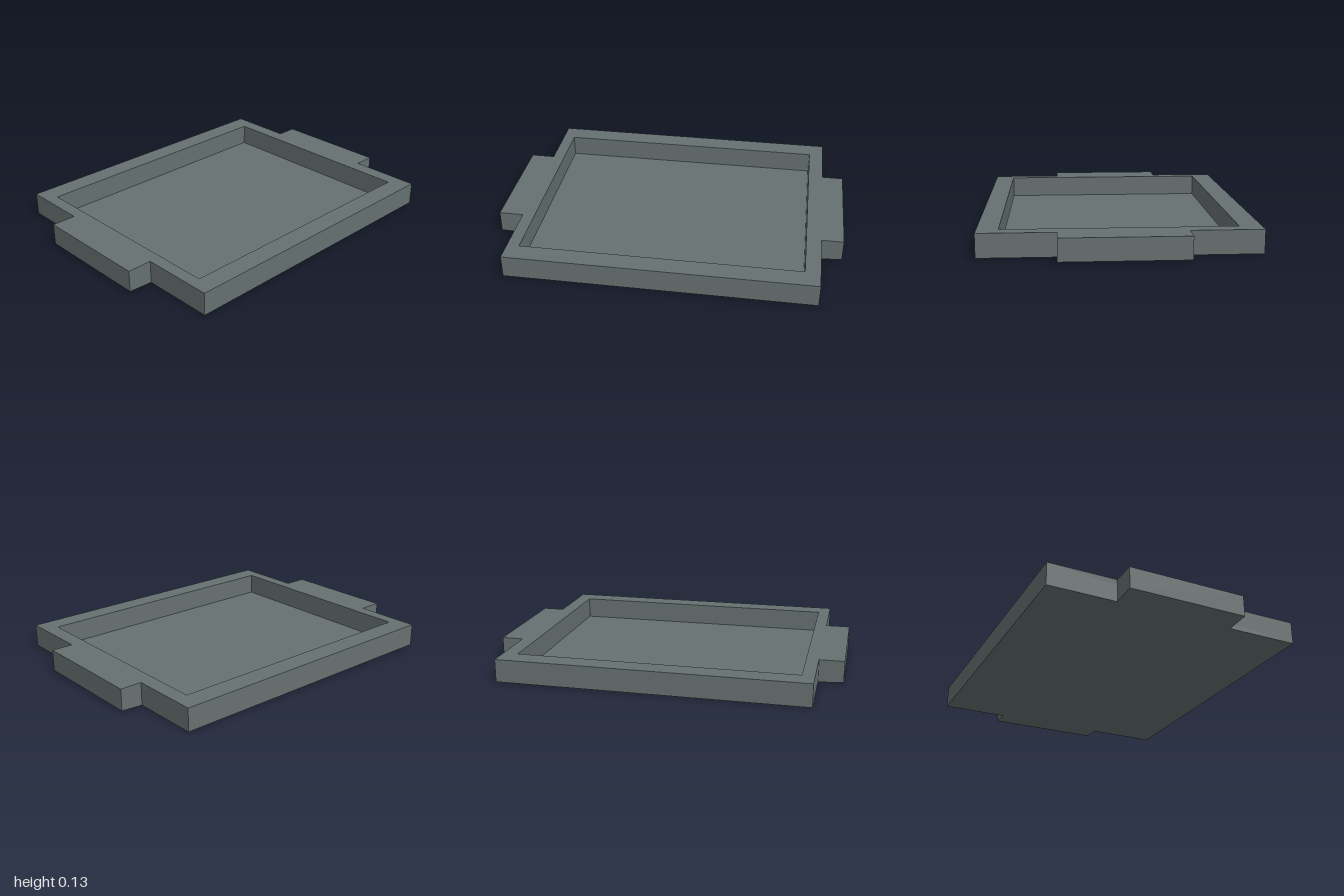
import * as THREE from 'three';

const HEIGHT = 0.13, FLOOR = 0.005;
const LEFT = 0.74, RIGHT = -0.745, FRONT = 0.86, BACK = -0.875;
const HOLE_X = 0.625, HOLE_Z = 0.79;
const TAB_LEFT = 0.325, TAB_RIGHT = -0.355, TAB_RISE = 0.007;

function rectangle(Type, x0, x1, y0, y1) {
  const path = new Type();
  path.moveTo(x0, y0);
  path.lineTo(x1, y0);
  path.lineTo(x1, y1);
  path.lineTo(x0, y1);
  path.closePath();
  return path;
}

export function createModel() {
  const group = new THREE.Group();
  group.name = 'tray';
  const material = new THREE.MeshStandardMaterial({ color: 0x667070 });

  function add(name, geometry) {
    const mesh = new THREE.Mesh(geometry, material);
    mesh.name = name;
    group.add(mesh);
    return mesh;
  }

  // Raised rim around the recess (shape y becomes -z)
  const outline = rectangle(THREE.Shape, RIGHT, LEFT, -FRONT, -BACK);
  outline.holes.push(rectangle(THREE.Path, -HOLE_X, HOLE_X, -HOLE_Z, HOLE_Z));
  const rim = new THREE.ExtrudeGeometry(outline, { depth: HEIGHT, bevelEnabled: false });
  rim.rotateX(-Math.PI / 2);
  add('rim', rim);

  // Thin floor of the recess
  const floor = new THREE.BoxGeometry(HOLE_X * 2, FLOOR, HOLE_Z * 2);
  floor.translate(0, FLOOR / 2, 0);
  add('floor', floor);

  // End tabs, with undersides rising slightly toward the tips
  for (const [name, edge, tip] of [['frontTab', FRONT, 1], ['backTab', BACK, -1]]) {
    const tab = new THREE.BoxGeometry(TAB_LEFT - TAB_RIGHT, HEIGHT, Math.abs(tip - edge));
    tab.translate((TAB_LEFT + TAB_RIGHT) / 2, HEIGHT / 2, (edge + tip) / 2);
    const p = tab.attributes.position;
    for (let i = 0; i < p.count; i++) {
      if (p.getY(i) < 0.01 && Math.abs(p.getZ(i)) > 0.95) p.setY(i, TAB_RISE);
    }
    tab.computeVertexNormals();
    add(name, tab);
  }

  return group;
}
